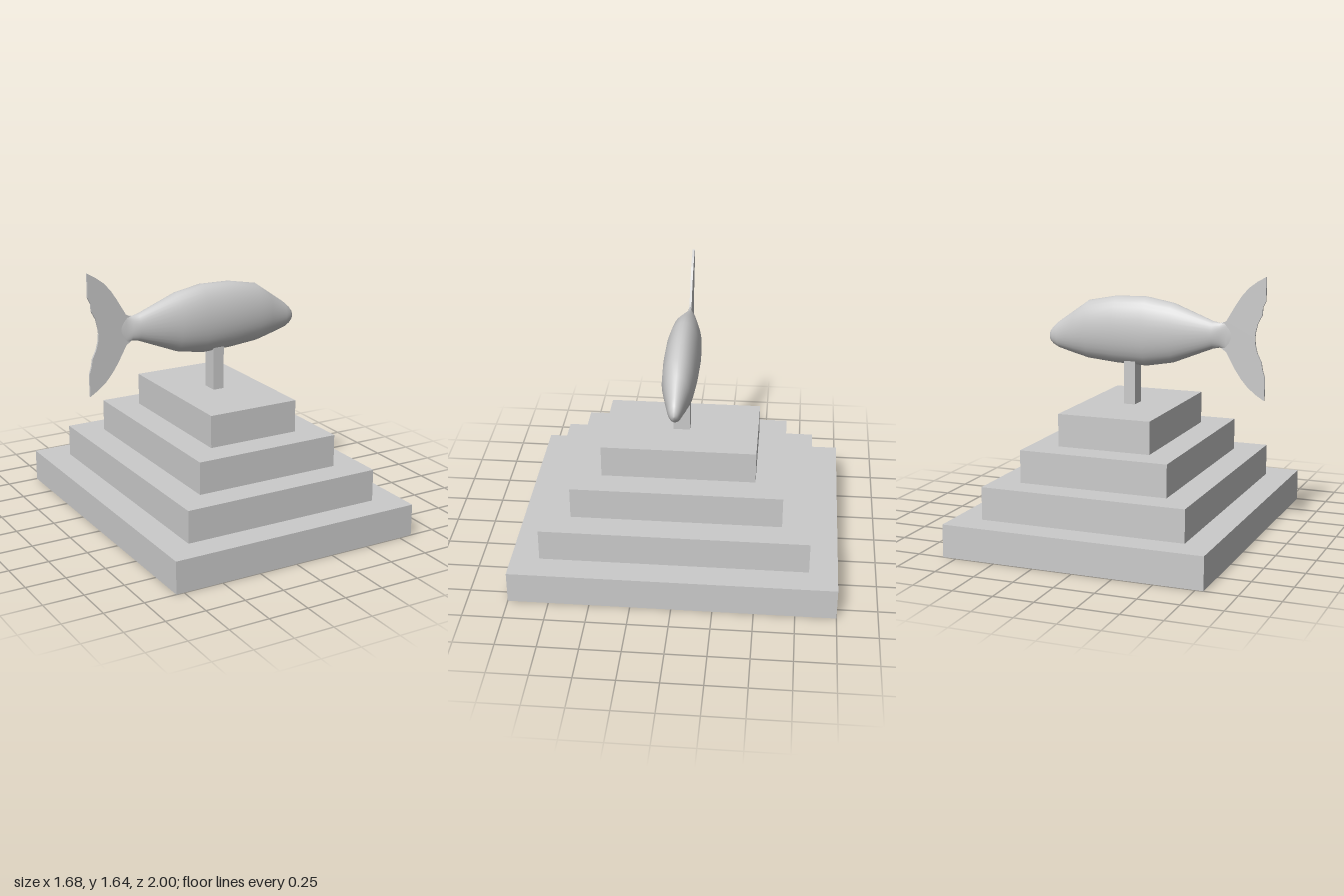
import * as THREE from 'three';

const material = new THREE.MeshStandardMaterial({ color: 0xcccccc });
const CENTRE_X = 0.018;

function addMesh(parent, name, geometry) {
  const mesh = new THREE.Mesh(geometry, material);
  mesh.name = name;
  parent.add(mesh);
  return mesh;
}

function addBlock(parent, name, width, depth, bottom, top) {
  const block = addMesh(parent, name, new THREE.BoxGeometry(width, top - bottom, depth));
  block.position.set(CENTRE_X, (bottom + top) / 2, 0);
}

// Loft of elliptical rings along x; each station is [x, top, bottom, half width]
function loft(stations, sides) {
  const positions = [];
  const indices = [];
  stations.forEach(([x, top, bottom, halfWidth], i) => {
    for (let j = 0; j < sides; j++) {
      const a = (j / sides) * Math.PI * 2;
      positions.push(x, (top + bottom) / 2 + Math.cos(a) * (top - bottom) / 2, Math.sin(a) * halfWidth);
      if (i === stations.length - 1) continue;
      const p = i * sides + j;
      const q = i * sides + ((j + 1) % sides);
      indices.push(p, q, p + sides, q, q + sides, p + sides);
    }
  });
  const geometry = new THREE.BufferGeometry();
  geometry.setAttribute('position', new THREE.Float32BufferAttribute(positions, 3));
  geometry.setIndex(indices);
  geometry.computeVertexNormals();
  return geometry;
}

export function createModel() {
  const model = new THREE.Group();
  model.name = 'fishOnSteppedPedestal';

  // Stepped pedestal
  const pedestal = new THREE.Group();
  pedestal.name = 'pedestal';
  model.add(pedestal);
  for (let i = 0; i < 4; i++) {
    addBlock(pedestal, `step${i + 1}`, 1.635 - i * 0.348, 2 - i * 0.349, i * 0.202, (i + 1) * 0.202);
  }

  // Post carrying the fish
  addBlock(model, 'post', 0.072, 0.102, 0.808, 1.08);

  const fish = new THREE.Group();
  fish.name = 'fish';
  model.add(fish);

  // Body, from the tail root to the nose
  addMesh(fish, 'body', loft([
    [-0.66, 1.31, 1.23, 0.004],
    [-0.594, 1.355, 1.175, 0.01],
    [-0.554, 1.345, 1.193, 0.024],
    [-0.51, 1.354, 1.184, 0.045],
    [-0.253, 1.453, 1.081, 0.097],
    [-0.078, 1.484, 1.05, 0.109],
    [0.119, 1.48, 1.058, 0.108],
    [0.307, 1.444, 1.076, 0.098],
    [0.4, 1.379, 1.099, 0.076],
    [0.52, 1.294, 1.132, 0.046],
    [0.555, 1.262, 1.152, 0.033],
    [0.575, 1.235, 1.173, 0.019],
    [0.582, 1.201, 1.199, 0.001],
  ], 32));

  // Flat crescent tail with a scalloped rear edge
  const outline = [
    [-0.55, 1.335], [-0.594, 1.359], [-0.655, 1.462], [-0.69, 1.515], [-0.733, 1.565],
    [-0.785, 1.605], [-0.84, 1.637], [-0.84, 1.49], [-0.822, 1.453], [-0.818, 1.404],
    [-0.792, 1.355], [-0.779, 1.3], [-0.775, 1.265], [-0.779, 1.22], [-0.792, 1.17],
    [-0.818, 1.117], [-0.826, 1.07], [-0.84, 1.025], [-0.84, 0.883], [-0.785, 0.917],
    [-0.733, 0.96], [-0.69, 1.01], [-0.652, 1.067], [-0.594, 1.17], [-0.55, 1.2],
  ].map(([x, y]) => new THREE.Vector2(x, y));
  const tail = new THREE.ExtrudeGeometry(new THREE.Shape(outline), { depth: 0.014, bevelEnabled: false });
  tail.translate(0, 0, -0.007);
  addMesh(fish, 'tailFin', tail);

  return model;
}
